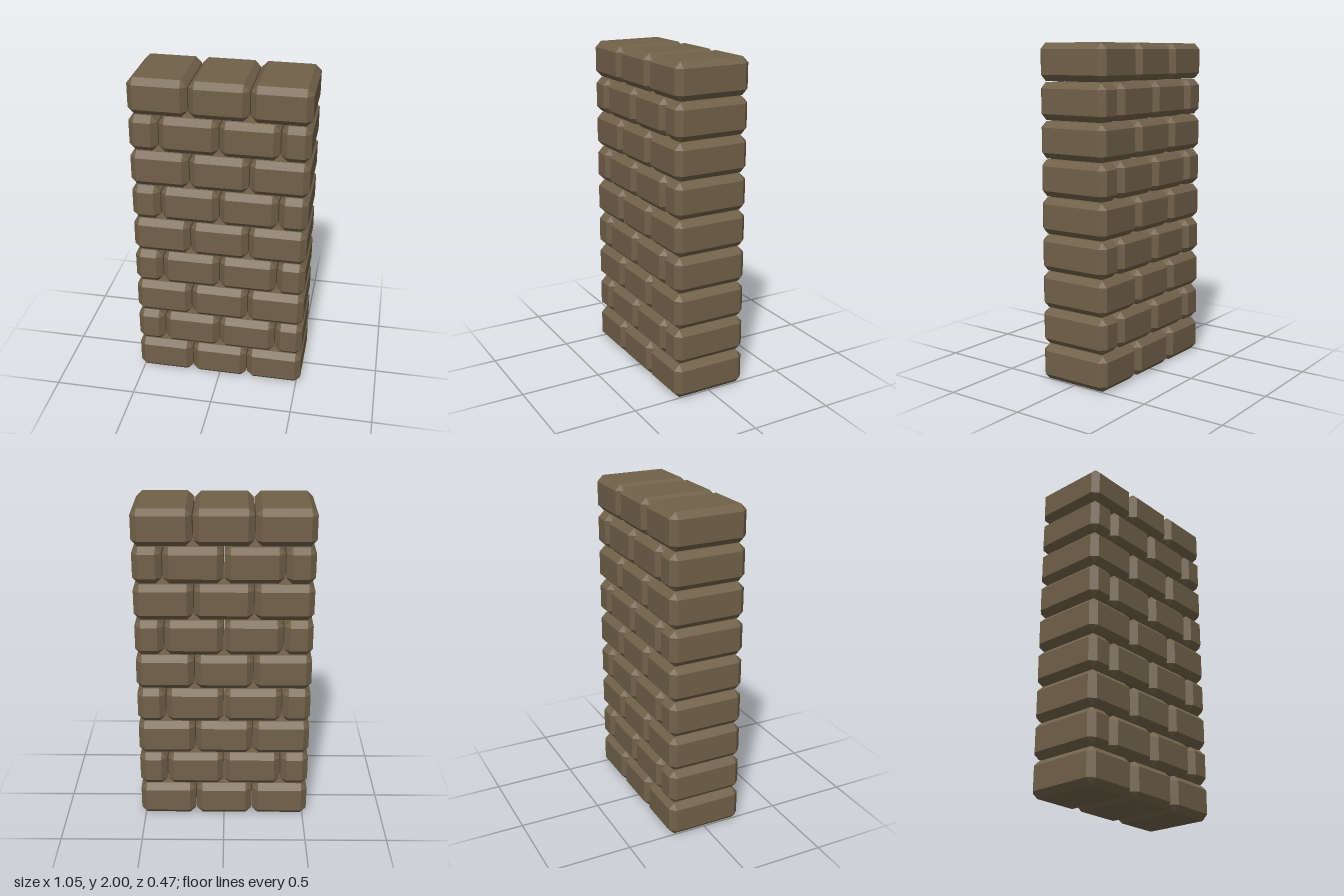
import * as THREE from 'three';
import { ConvexGeometry } from 'three/addons/geometries/ConvexGeometry.js';

const COURSES = 9;
const GAP = 0.006;
const BEVEL = 0.036;
const WIDTH = 1.05;
const DEPTH = 0.47;
const HEIGHT = (2 - GAP * (COURSES - 1)) / COURSES;
const FULL = (WIDTH - 2 * GAP) / 3;
const HALF = (FULL - GAP) / 2;

// Box with every edge chamfered and a triangle on each corner
function chamferedBox(w, h, d, c) {
  const points = [];
  for (const sx of [-1, 1]) for (const sy of [-1, 1]) for (const sz of [-1, 1]) {
    for (let face = 0; face < 3; face++) {
      const inset = [c, c, c];
      inset[face] = 0;
      points.push(new THREE.Vector3(
        sx * (w / 2 - inset[0]), sy * (h / 2 - inset[1]), sz * (d / 2 - inset[2])));
    }
  }
  return new ConvexGeometry(points);
}

export function createModel() {
  const wall = new THREE.Group();
  wall.name = 'brickWall';
  const stone = new THREE.MeshStandardMaterial({ color: 0x716149 });
  stone.name = 'brown stone';

  const fullBrick = chamferedBox(FULL, HEIGHT, DEPTH, BEVEL);
  const halfBrick = chamferedBox(HALF, HEIGHT, DEPTH, BEVEL);

  // Running bond: three full bricks, then two full bricks between halves
  const patterns = [[FULL, FULL, FULL], [HALF, FULL, FULL, HALF]];
  for (let row = 0; row < COURSES; row++) {
    const course = new THREE.Group();
    course.name = `course${row + 1}`;
    course.position.y = HEIGHT / 2 + row * (HEIGHT + GAP);
    let x = -WIDTH / 2;
    for (const width of patterns[row % 2]) {
      const brick = new THREE.Mesh(width === FULL ? fullBrick : halfBrick, stone);
      brick.name = width === FULL ? 'fullBrick' : 'halfBrick';
      brick.position.x = x + width / 2;
      course.add(brick);
      x += width + GAP;
    }
    wall.add(course);
  }
  return wall;
}
